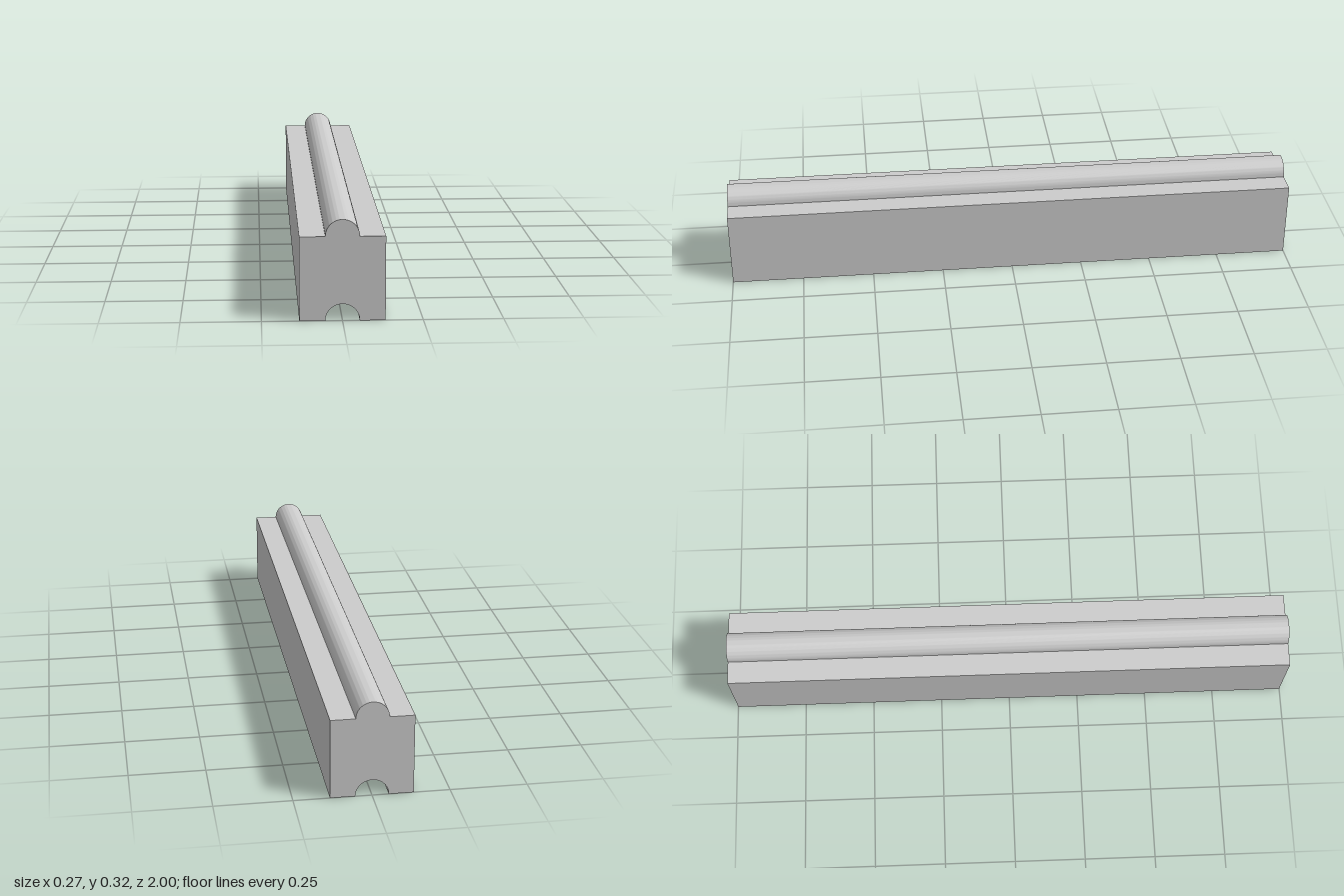
import * as THREE from 'three';
import { toCreasedNormals } from 'three/addons/utils/BufferGeometryUtils.js';

const LENGTH = 2;
const SIZE = 0.2667; // width and height of the square bar
const RADIUS = 0.0533; // ridge and groove

export function createModel() {
  const group = new THREE.Group();
  group.name = 'interlockingBeam';
  const half = SIZE / 2;

  // Cross-section: square bar with a round groove below and a matching ridge on top
  const profile = new THREE.Shape();
  profile.moveTo(-half, 0);
  profile.lineTo(-RADIUS, 0);
  profile.absarc(0, 0, RADIUS, Math.PI, 0, true);
  profile.lineTo(half, 0);
  profile.lineTo(half, SIZE);
  profile.lineTo(RADIUS, SIZE);
  profile.absarc(0, SIZE, RADIUS, 0, Math.PI, false);
  profile.lineTo(-half, SIZE);
  profile.closePath();

  // Extrude along z, keeping the corners sharp and the arcs smooth
  const extruded = new THREE.ExtrudeGeometry(profile, {
    depth: LENGTH,
    bevelEnabled: false,
    curveSegments: 32,
  });
  extruded.translate(0, 0, -LENGTH / 2);

  const beam = new THREE.Mesh(
    toCreasedNormals(extruded, 0.5),
    new THREE.MeshStandardMaterial({ color: 0xcccccc })
  );
  beam.name = 'beam';
  group.add(beam);
  return group;
}
